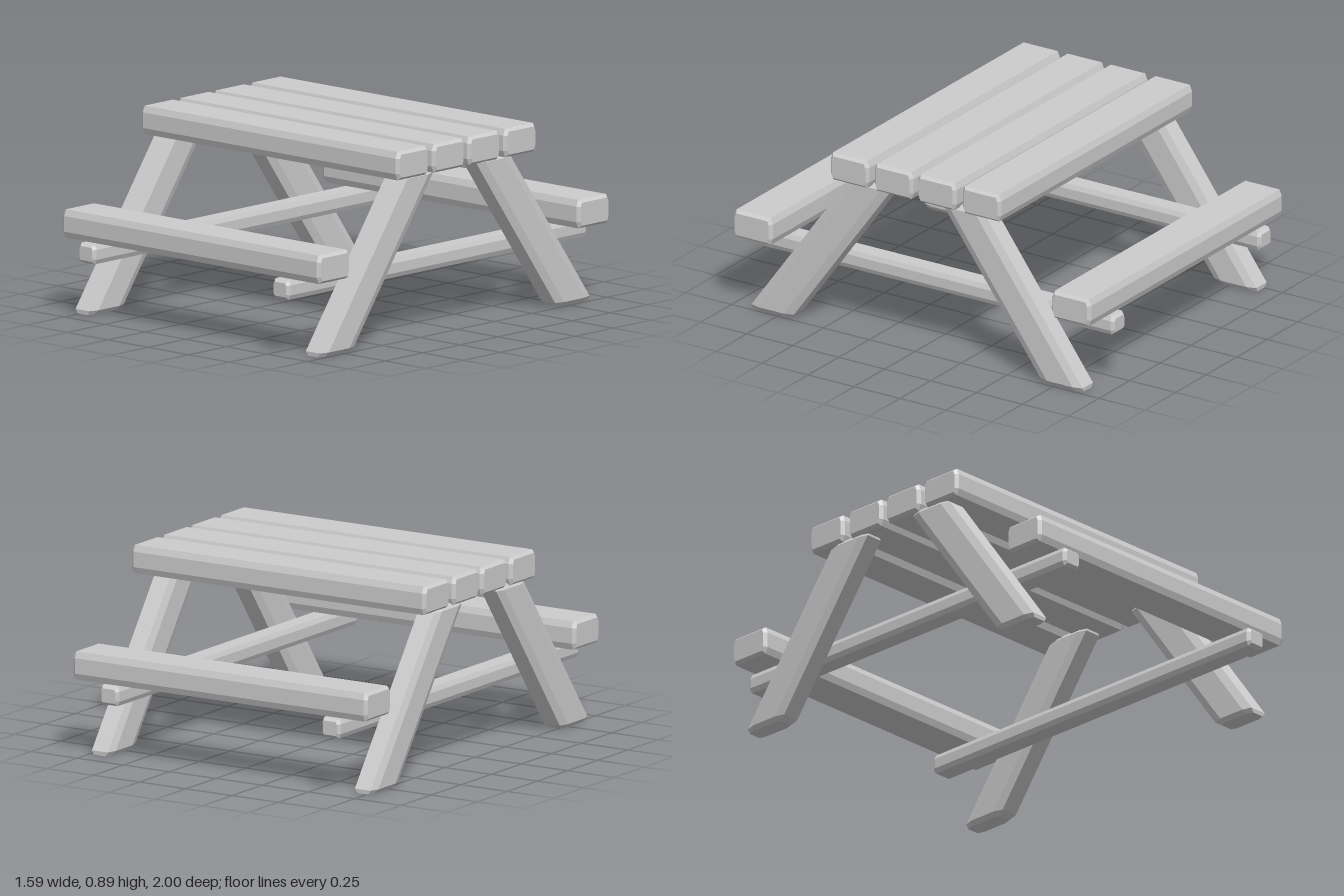
import * as THREE from 'three';

const material = new THREE.MeshStandardMaterial({ color: 0xcccccc, flatShading: true });

// Timber with an octagonal section (cx, cy = edge cuts) and bevelled ends, centred along z
function timber(w, h, length, cx, cy, bevel) {
  const a = w / 2, b = h / 2;
  const section = new THREE.Shape([
    [a - cx, -b], [a, -b + cy], [a, b - cy], [a - cx, b],
    [-a + cx, b], [-a, b - cy], [-a, -b + cy], [-a + cx, -b],
  ].map(([x, y]) => new THREE.Vector2(x, y)));
  const geometry = new THREE.ExtrudeGeometry(section, {
    depth: length - 2 * bevel, bevelEnabled: true, bevelSegments: 1,
    bevelThickness: bevel, bevelSize: bevel * 0.8, bevelOffset: -bevel * 0.8,
  });
  return geometry.translate(0, 0, bevel - length / 2);
}

export function createModel() {
  const group = new THREE.Group();
  const add = (name, geometry, x, y, z) => {
    const mesh = new THREE.Mesh(geometry, material);
    mesh.name = name;
    mesh.position.set(x, y, z);
    group.add(mesh);
  };

  // Tabletop planks and bench seats share one board
  const board = timber(0.21, 0.132, 1.59, 0.012, 0.03, 0.016).rotateY(Math.PI / 2);
  [0.335, 0.095, -0.14, -0.383].forEach((z) => add('tabletopPlank', board, -0.002, 0.822, z));
  [0.861, -0.871].forEach((z) => add('benchSeat', board, -0.002, 0.421, z));

  // Rails that carry the benches
  const rail = timber(0.102, 0.09, 2, 0.01, 0.022, 0.016);
  [-0.616, 0.581].forEach((x) => add('benchRail', rail, x, 0.31, 0));

  // Splayed legs: an upright timber sheared so that its ends stay level
  const height = 0.765, spread = 0.55;
  for (const side of [1, -1]) {
    const k = -side * spread / 0.757;
    const leg = timber(0.113, 0.23, height, 0.014, 0.045, 0.02)
      .rotateX(-Math.PI / 2)
      .translate(0, height / 2, 0)
      .applyMatrix4(new THREE.Matrix4().set(1, 0, 0, 0, 0, 1, 0, 0, 0, k, 1, 0, 0, 0, 0, 1));
    leg.computeVertexNormals();
    [-0.729, 0.692].forEach((x) => add(side > 0 ? 'frontLeg' : 'backLeg', leg, x, 0, side * 0.8));
  }
  return group;
}
